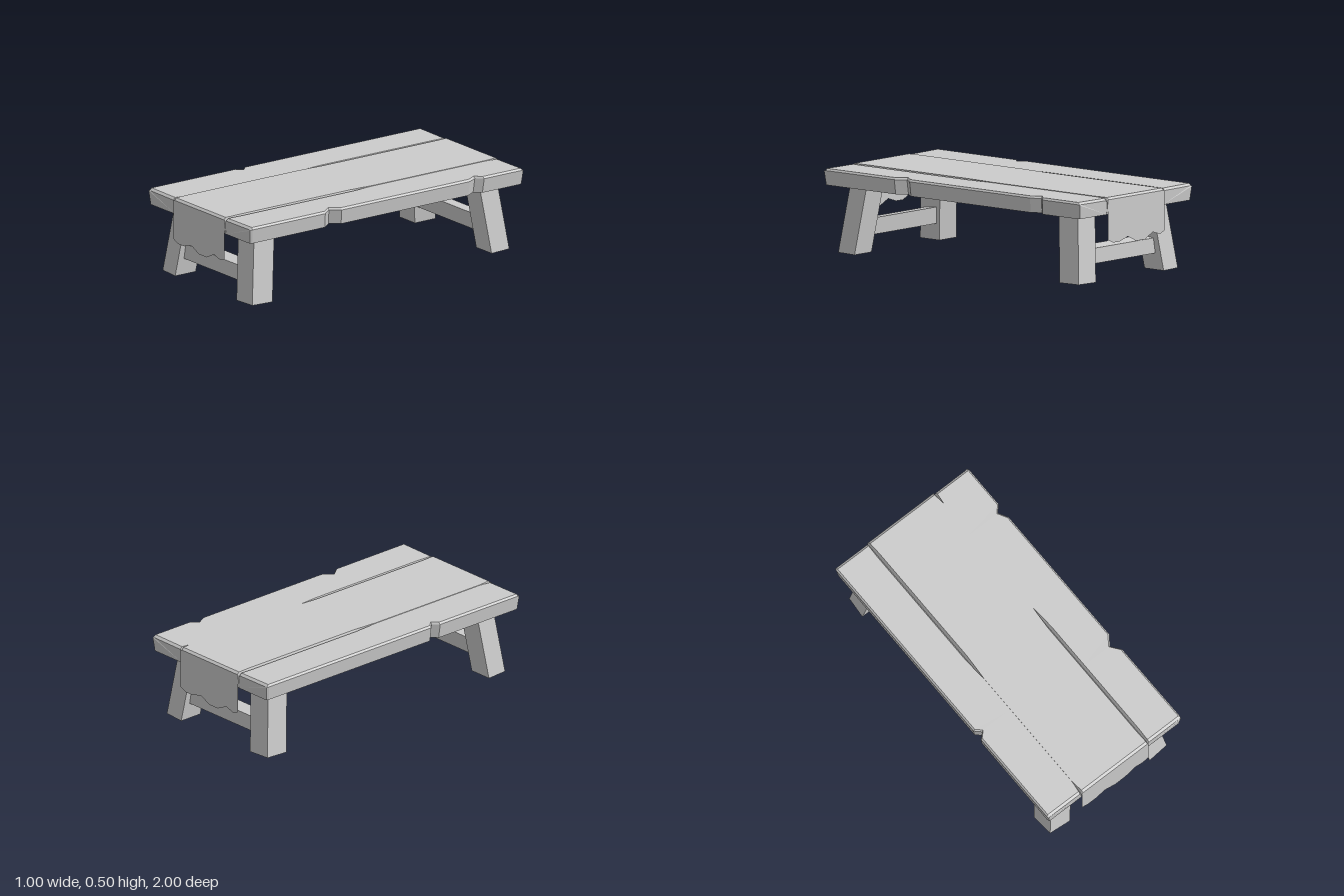
import * as THREE from 'three';

const material = new THREE.MeshStandardMaterial({ color: 0xcccccc, flatShading: true });
const clothMaterial = new THREE.MeshStandardMaterial({ color: 0xcccccc, side: THREE.DoubleSide });

// Closed solid through rings of [x, y, z] corners, with capped ends and outward faces
function loft(rings) {
  const n = rings[0].length, last = rings.length - 1, tris = [];
  for (let i = 0; i < last; i++) {
    for (let j = 0; j < n; j++) {
      const k = (j + 1) % n;
      const a = rings[i][j], b = rings[i][k], c = rings[i + 1][k], d = rings[i + 1][j];
      tris.push([a, b, c], [a, c, d]);
    }
  }
  for (let j = 1; j < n - 1; j++) {
    tris.push([rings[0][0], rings[0][j + 1], rings[0][j]]);
    tris.push([rings[last][0], rings[last][j], rings[last][j + 1]]);
  }
  let volume = 0;
  for (const [a, b, c] of tris) {
    volume += new THREE.Vector3(...a).dot(new THREE.Vector3(...b).cross(new THREE.Vector3(...c)));
  }
  if (volume < 0) tris.forEach((t) => t.reverse());
  const geometry = new THREE.BufferGeometry();
  geometry.setAttribute('position', new THREE.Float32BufferAttribute(tris.flat(2), 3));
  geometry.computeVertexNormals();
  return geometry;
}

// Piecewise linear lookup in [position, value] pairs
function lookup(pairs, z) {
  for (let i = 1; i < pairs.length; i++) {
    const [z0, v0] = pairs[i - 1], [z1, v1] = pairs[i];
    if (z <= z1) return v0 + (v1 - v0) * (z - z0) / (z1 - z0);
  }
  return pairs[pairs.length - 1][1];
}

// Half width of the open crack beside the middle board, for the +x joint;
// the -x joint is the same turned half way round
const crack = [[-1, 0.01], [-0.91, 0], [-0.09, 0], [0.08, 0.011], [0.9, 0.011], [1, 0.007]];
const gap = (side, z) => lookup(crack, side * z);

// Outer edge with its chipped notches
const edges = {
  1: [[-1, 0.495], [-0.985, 0.5], [-0.71, 0.5], [-0.67, 0.462], [-0.61, 0.495], [0.33, 0.497],
    [0.39, 0.452], [0.45, 0.497], [0.985, 0.5], [1, 0.495]],
  '-1': [[-1, 0.495], [-0.985, 0.5], [0.30, 0.5], [0.335, 0.464], [0.37, 0.5], [0.985, 0.5], [1, 0.495]],
};

function stations(...lists) {
  return [...new Set(lists.flat())].sort((a, b) => a - b);
}

// The top surface drops at both ends to form a bevel
const drop = (z) => (Math.abs(z) > 0.99 ? 0.013 : 0);

function sidePlank(side) {
  const zs = stations(edges[side].map((e) => e[0]), crack.map((c) => side * c[0]));
  return loft(zs.map((z) => {
    const x = lookup(edges[side], z), g = gap(side, z), d = drop(z), zb = z * 0.99;
    return [
      [side * 0.25, 0.4, zb], [side * (x - 0.01), 0.4, zb], [side * x, 0.487 - d * 0.3, z * 0.998],
      [side * (x - 0.01), 0.499 - d, z * 0.995], [side * (0.25 + g), 0.497 - d, z * 0.995],
      [side * 0.25, 0.47, z * 0.995],
    ];
  }));
}

function middleBoard() {
  const zs = stations(crack.map((c) => c[0]), crack.map((c) => -c[0]), [-0.985, 0.985]);
  return loft(zs.map((z) => {
    const r = gap(1, z), l = gap(-1, z), y = 0.5 - drop(z);
    return [[-0.25, 0.4, z * 0.99], [0.25, 0.4, z * 0.99], [0.25, 0.47, z],
      [0.25 - r, y, z], [-0.25 + l, y, z], [-0.25, 0.47, z]];
  }));
}

// Ragged lower hem of the hanging cloth
const hem = [[-0.25, 0.25], [-0.205, 0.23], [-0.145, 0.23], [-0.075, 0.252], [0, 0.217],
  [0.075, 0.217], [0.147, 0.252], [0.21, 0.233], [0.25, 0.25]];

function clothFlap() {
  const points = [[-0.25, 0.488], ...hem, [0.25, 0.488]];
  return new THREE.ShapeGeometry(new THREE.Shape(points.map((p) => new THREE.Vector2(...p))));
}

// Splayed leg with its outer corner drawn in
function leg(sx, sz) {
  const ring = (y, o) => [[0.25, 0.75], [0.4, 0.75], [0.388, 0.888], [0.25, 0.9]]
    .map(([x, z]) => [sx * (x + o), y, sz * (z + o)]);
  return loft([ring(0, 0.05), ring(0.401, 0)]);
}

// Crossbar between a pair of legs, its top sloping slightly outward
function crossbar(sz) {
  return loft([-1, 1].map((s) => [[0.1, 0.81], [0.1, 0.895], [0.19, 0.89], [0.2, 0.8]]
    .map(([y, z]) => [s * (0.32 - y * 0.125), y, sz * z])));
}

export function createModel() {
  const model = new THREE.Group();
  model.name = 'table';
  const add = (name, geometry, mat = material) => {
    const mesh = new THREE.Mesh(geometry, mat);
    mesh.name = name;
    model.add(mesh);
    return mesh;
  };

  add('middleBoard', middleBoard());
  add('leftPlank', sidePlank(1));
  add('rightPlank', sidePlank(-1));

  for (const sz of [1, -1]) {
    const end = sz > 0 ? 'front' : 'back';
    const flap = add(`${end}ClothFlap`, clothFlap(), clothMaterial);
    flap.position.z = sz * 1.0005;
    if (sz < 0) flap.rotation.y = Math.PI;
    add(`${end}Crossbar`, crossbar(sz));
    add(`${end}LeftLeg`, leg(1, sz));
    add(`${end}RightLeg`, leg(-1, sz));
  }
  return model;
}
